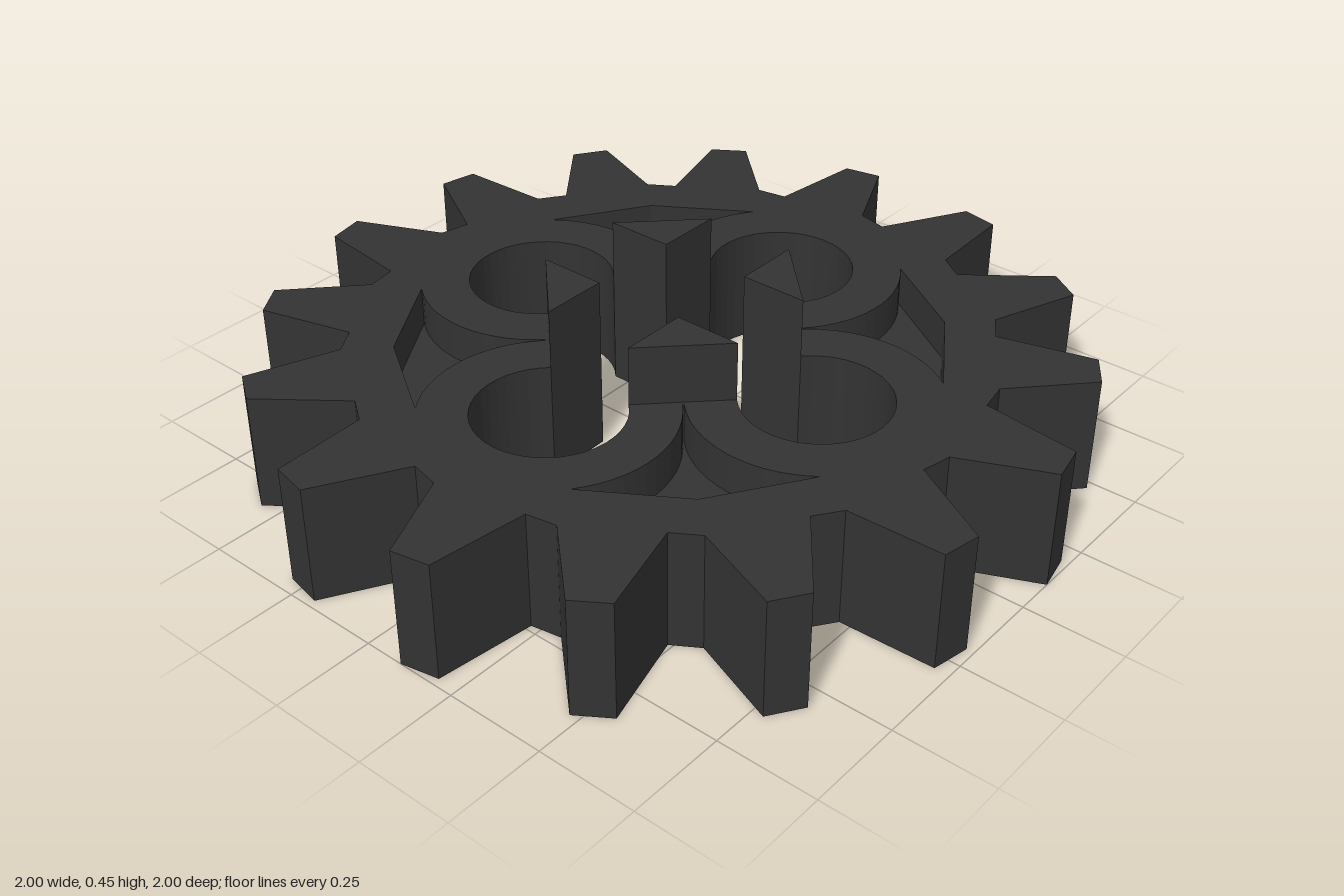
import * as THREE from 'three';
import { mergeGeometries } from 'three/addons/utils/BufferGeometryUtils.js';

const DEG = Math.PI / 180;
const THICK = 0.3, POCKET = 0.1, POST_TOP = 0.45;
const SLOT = 0.12, HOLE_R = 0.18, HOLE_C = 0.427;

const polar = (r, deg, cx = 0, cy = 0) =>
  new THREE.Vector2(cx + r * Math.cos(deg * DEG), cy + r * Math.sin(deg * DEG));
const quarter = (points, k) =>
  points.map(p => p.clone().rotateAround(new THREE.Vector2(), k * Math.PI / 2));
const arc = (cx, cy, r, from, to, n) =>
  Array.from({ length: n + 1 }, (_, i) => polar(r, from + (to - from) * i / n, cx, cy));

// Flat horizontal face at height y, facing up or down
function face(outline, holes, y, up) {
  const shape = new THREE.Shape(outline);
  shape.holes = holes.map(h => new THREE.Path(h));
  const g = new THREE.ShapeGeometry(shape);
  if (!up) g.setIndex([...g.index.array].reverse());
  g.rotateX(-Math.PI / 2).translate(0, y, 0);
  return finish(g.toNonIndexed());
}

// Vertical wall along a closed loop; inward turns it to face the inside
function wall(loop, y0, y1, inward = false) {
  const pts = inward ? [...loop].reverse() : loop;
  const pos = [];
  pts.forEach((a, i) => {
    const b = pts[(i + 1) % pts.length];
    pos.push(a.x, y0, -a.y, b.x, y0, -b.y, b.x, y1, -b.y);
    pos.push(a.x, y0, -a.y, b.x, y1, -b.y, a.x, y1, -a.y);
  });
  const g = new THREE.BufferGeometry();
  g.setAttribute('position', new THREE.Float32BufferAttribute(pos, 3));
  return finish(g);
}

function finish(g) {
  g.deleteAttribute('uv');
  g.computeVertexNormals();
  return g;
}

export function createModel() {
  const group = new THREE.Group();
  const material = new THREE.MeshStandardMaterial({ color: 0x333333, flatShading: true });
  const add = (name, parts) => {
    const mesh = new THREE.Mesh(mergeGeometries(parts), material);
    mesh.name = name;
    group.add(mesh);
  };

  // Sixteen tapered teeth
  const outline = [];
  for (let i = 0; i < 16; i++) {
    const a = 8.5 + i * 22.5;
    outline.push(polar(0.782, a - 8.4), polar(1.005, a - 2.75),
      polar(1.0, a + 2.75), polar(0.769, a + 8.5));
  }

  // Cross-shaped opening with a round lobe at the end of each slot
  const neck = Math.asin(SLOT / HOLE_R) / DEG;
  const lobe = [new THREE.Vector2(SLOT, -SLOT),
    ...arc(HOLE_C, 0, HOLE_R, -180 + neck, 180 - neck, 32)];
  const opening = [0, 1, 2, 3].flatMap(k => quarter(lobe, k));

  // Three-cornered pockets between the lobes
  const pocket = [
    ...arc(0, HOLE_C, 0.3, 38, -45, 14),
    ...arc(HOLE_C, 0, 0.3, 135, 52, 14),
    new THREE.Vector2(0.465, 0.465),
  ];
  const pockets = [0, 1, 2, 3].map(k => quarter(pocket, k));

  add('gearBody', [
    face(outline, [opening, ...pockets], THICK, true),
    face(outline, [opening, ...pockets], 0, false),
    wall(outline, 0, THICK),
    wall(opening, 0, THICK, true),
  ]);

  add('pocketRecesses', pockets.flatMap(p => [
    wall(p, THICK - POCKET, THICK, true),
    face(p, [], THICK - POCKET, true),
    wall(p, 0, POCKET, true),
    face(p, [], POCKET, false),
  ]));

  // Triangular posts around the centre
  const reach = HOLE_C - Math.sqrt(HOLE_R ** 2 - SLOT ** 2);
  const post = [[SLOT, SLOT], [reach, SLOT], [SLOT, reach]].map(p => new THREE.Vector2(...p));
  for (let k = 0; k < 4; k++) {
    const p = quarter(post, k);
    add('centrePost' + (k + 1), [wall(p, THICK, POST_TOP), face(p, [], POST_TOP, true)]);
  }
  return group;
}
